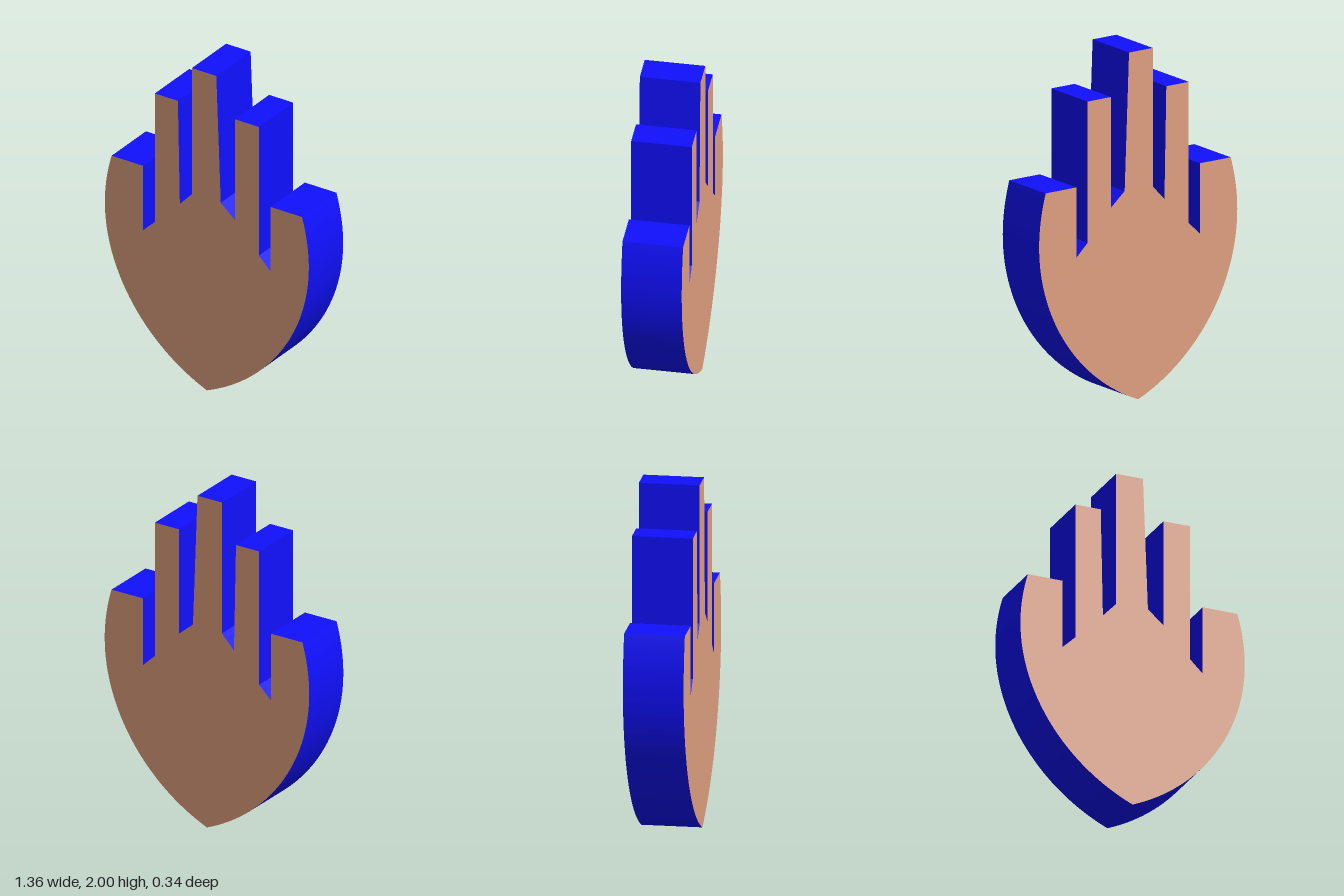
import * as THREE from 'three';

const DEPTH = 0.34;

// Finger outline, from the top of the +x outer finger across to the -x one
const FINGERS = [
  [0.635, 1.285], [0.425, 1.285], [0.425, 0.88], [0.347, 0.955],   // outer finger and gap
  [0.347, 1.765], [0.187, 1.765], [0.187, 1.13], [0.093, 1.21],    // second finger and gap
  [0.063, 2], [-0.1, 2], [-0.1, 1.205], [-0.18, 1.12],             // middle finger and gap
  [-0.193, 1.765], [-0.347, 1.765], [-0.347, 0.955], [-0.425, 0.88], // fourth finger and gap
  [-0.425, 1.285], [-0.635, 1.285],                                // outer finger
];

function handShape() {
  const shape = new THREE.Shape();
  // Rounded palm edge rising from the pointed base
  shape.moveTo(0, 0);
  shape.bezierCurveTo(0.41, 0.17, 0.68, 0.56, 0.68, 0.98);
  shape.quadraticCurveTo(0.68, 1.13, ...FINGERS[0]);
  // Fingers
  for (const [x, y] of FINGERS.slice(1)) shape.lineTo(x, y);
  // Opposite palm edge back down to the base
  shape.quadraticCurveTo(-0.68, 1.13, -0.68, 0.98);
  shape.bezierCurveTo(-0.68, 0.56, -0.41, 0.17, 0, 0);
  return shape;
}

export function createModel() {
  const group = new THREE.Group();
  group.name = 'hand';

  const skin = new THREE.MeshStandardMaterial({ color: 0xe0a080 });
  const edge = new THREE.MeshStandardMaterial({ color: 0x1010ff });

  // Flat hand slab: skin on both faces, blue around the rim
  const geometry = new THREE.ExtrudeGeometry(handShape(), {
    depth: DEPTH, bevelEnabled: false, curveSegments: 32,
  });
  geometry.translate(0, 0, -DEPTH / 2);

  const palm = new THREE.Mesh(geometry, [skin, edge]);
  palm.name = 'palmAndFingers';
  group.add(palm);
  return group;
}
